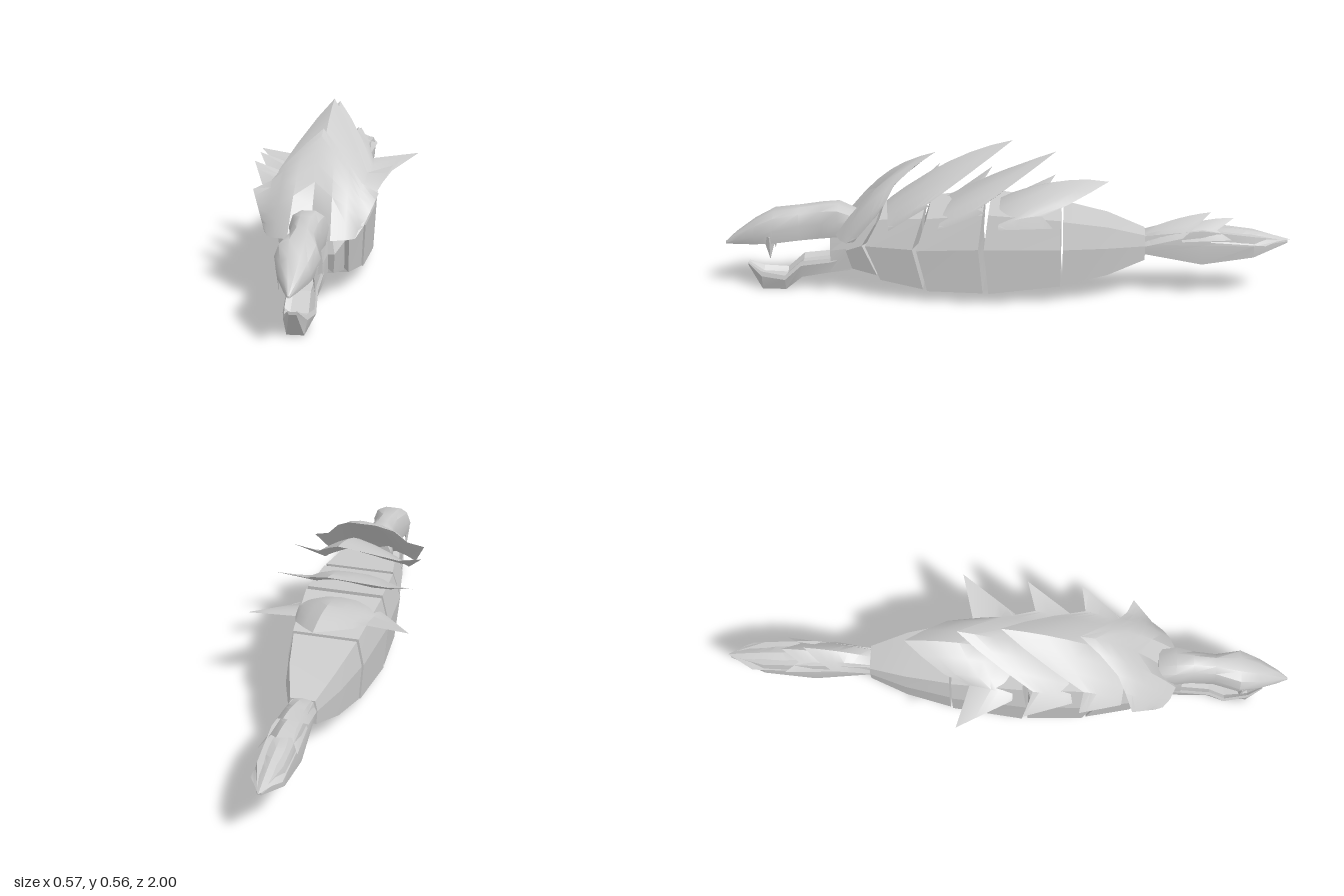
import * as THREE from 'three';
import { toCreasedNormals } from 'three/addons/utils/BufferGeometryUtils.js';

const material = new THREE.MeshStandardMaterial({ color: 0xcccccc, side: THREE.DoubleSide });
const V = (x, y, z) => new THREE.Vector3(x, y, z);
const flipX = (p) => V(-p.x, p.y, p.z);

// Skin between closed rings, ordered front to back, each counter-clockwise seen from +z.
function loft(name, rings, crease = 0.5, caps = true) {
  const pos = [];
  const tri = (...pts) => pts.forEach((p) => pos.push(p.x, p.y, p.z));
  const n = rings[0].length;
  for (let i = 0; i < rings.length - 1; i++) {
    for (let j = 0; j < n; j++) {
      const k = (j + 1) % n;
      const a = rings[i][j], b = rings[i][k], c = rings[i + 1][k], d = rings[i + 1][j];
      tri(a, d, c);
      tri(a, c, b);
    }
  }
  if (caps) {
    const cap = (ring, back) => {
      const mid = ring.reduce((s, p) => s.add(p), V(0, 0, 0)).divideScalar(n);
      ring.forEach((p, j) => {
        const q = ring[(j + 1) % n];
        if (back) tri(mid, q, p); else tri(mid, p, q);
      });
    };
    cap(rings[0], false);
    cap(rings[rings.length - 1], true);
  }
  const geo = new THREE.BufferGeometry();
  geo.setAttribute('position', new THREE.Float32BufferAttribute(pos, 3));
  const mesh = new THREE.Mesh(toCreasedNormals(geo, crease), material);
  mesh.name = name;
  return mesh;
}

// Full ring from its right half, listed bottom to top; centre points are kept single.
const mirrorRing = (half) => [...half, ...half.filter((p) => p.x > 0).reverse().map(flipX)];

// Six-sided body ring: flat belly and back, side ridge pushed forward by dz.
const bodyRing = ([z, yb, yt, w, dz = 0]) => mirrorRing([
  V(w * 0.92, yb, z), V(w, yb + (yt - yb) * 0.58, z + dz), V(w * 0.86, yt, z)]);

// Thin curved shell from half-outlines of its front and back edges (centre to side).
function plate(name, front, back, lift, thick) {
  const rings = [];
  const steps = 6, last = front.length - 1;
  for (let i = 0; i <= steps; i++) {
    const t = i / steps, bulge = 4 * t * (1 - t);
    const row = (drop) => {
      const half = front.map((f, j) => {
        const p = V(...f).lerp(V(...back[j]), t);
        const inner = 1 - j / last;
        p.y += bulge * (lift * inner - drop * Math.min(1, inner * 2));
        return p;
      });
      return [...half.slice(1).reverse().map(flipX), ...half];
    };
    rings.push([...row(thick), ...row(0).reverse()]);
  }
  return loft(name, rings, 0.55, false);
}

// Back plate: raised centre point, notch, then a swept side spike.
function backPlate(name, { front, tip, side, notch, spike, lift }) {
  const [yf, zf] = front, [yt, zt] = tip, [xs, ys, zs] = side;
  const across = (u) => [xs * u, yf + (ys - yf) * u * u, zf + (zs - zf) * u];
  const leaf = (u, x) => [x, yt + (notch[1] - yt) * u, zt + (notch[2] - zt) * u];
  return plate(name,
    [0, 0.33, 0.66, 0.9, 1].map(across),
    [[0, yt, zt], leaf(0.27, 0.048), leaf(0.62, 0.1), notch, spike], lift, 0.03);
}

export function createModel() {
  const model = new THREE.Group();
  model.name = 'armouredCreature';

  // Body segments: [z, bottom, top, half width, ridge shift]
  const segments = [
    [[0.62, 0.08, 0.212, 0.05], [0.53, 0.095, 0.23, 0.06]],
    [[0.54, 0.1, 0.22, 0.08, 0.02], [0.45, 0.085, 0.28, 0.105, 0.05]],
    [[0.437, 0.073, 0.295, 0.118, 0.05], [0.285, 0.05, 0.31, 0.145, 0.035]],
    [[0.27, 0.045, 0.31, 0.15, 0.035], [0.075, 0.043, 0.33, 0.158, 0.015]],
    [[0.055, 0.042, 0.33, 0.16, 0.015], [-0.195, 0.066, 0.305, 0.135]],
    [[-0.203, 0.068, 0.3, 0.13], [-0.36, 0.097, 0.272, 0.096], [-0.49, 0.14, 0.23, 0.05]],
  ];
  segments.forEach((rows, i) =>
    model.add(loft(i ? 'bodySegment' + i : 'neck', rows.map(bodyRing), 0.2)));

  // Tail
  const tail = [[-0.48, 0.16, 0.225, 0.042], [-0.69, 0.127, 0.25, 0.055],
    [-0.87, 0.155, 0.23, 0.05], [-0.99, 0.198, 0.207, 0.008]];
  model.add(loft('tail', tail.map(bodyRing), 0.3));

  // Tail scales
  model.add(plate('tailScale1',
    [[0, 0.235, -0.49], [0.03, 0.23, -0.49], [0.048, 0.19, -0.49]],
    [[0, 0.305, -0.72], [0.035, 0.265, -0.67], [0.056, 0.225, -0.62]], 0.01, 0.012));
  model.add(plate('tailScale2',
    [[0, 0.245, -0.6], [0.03, 0.24, -0.6], [0.052, 0.21, -0.62]],
    [[0, 0.285, -0.8], [0.035, 0.25, -0.74], [0.066, 0.225, -0.79]], 0.01, 0.012));
  model.add(plate('tailScale3',
    [[0, 0.25, -0.7], [0.03, 0.245, -0.7], [0.054, 0.21, -0.72]],
    [[0, 0.208, -1], [0.03, 0.21, -0.95], [0.052, 0.2, -0.91]], 0.012, 0.012));

  // Shield behind the head
  model.add(plate('shieldPlate',
    [[0, 0.24, 0.55], [0.07, 0.225, 0.595], [0.115, 0.222, 0.575], [0.145, 0.222, 0.55], [0.158, 0.232, 0.52]],
    [[0, 0.513, 0.245], [0.05, 0.475, 0.315], [0.105, 0.425, 0.38], [0.15, 0.37, 0.41], [0.208, 0.345, 0.435]],
    0.055, 0.04));

  // Overlapping back plates
  [
    { front: [0.33, 0.42], tip: [0.56, -0.025], side: [0.16, 0.275, 0.4],
      notch: [0.15, 0.37, 0.265], spike: [0.235, 0.395, 0.25], lift: 0.035 },
    { front: [0.34, 0.19], tip: [0.52, -0.175], side: [0.162, 0.28, 0.23],
      notch: [0.15, 0.355, 0.09], spike: [0.25, 0.38, 0.06], lift: 0.015 },
    { front: [0.335, 0.02], tip: [0.412, -0.36], side: [0.162, 0.285, 0.02],
      notch: [0.125, 0.325, -0.13], spike: [0.285, 0.34, -0.17], lift: 0.035 },
  ].forEach((p, i) => model.add(backPlate('backPlate' + (i + 1), p)));

  // Head with hooked beak: [z, half width, lower edge, roof, side, top]
  const head = [
    [1.0, 0.003, 0.16, 0.163, 0.163, 0.168],
    [0.96, 0.024, 0.166, 0.172, 0.182, 0.205],
    [0.89, 0.054, 0.175, 0.19, 0.205, 0.255],
    [0.82, 0.073, 0.185, 0.205, 0.235, 0.292],
    [0.73, 0.047, 0.19, 0.205, 0.245, 0.306],
    [0.65, 0.05, 0.2, 0.208, 0.255, 0.318],
    [0.59, 0.064, 0.21, 0.212, 0.265, 0.322],
    [0.53, 0.06, 0.215, 0.218, 0.255, 0.295],
  ].map(([z, w, yb, yr, ym, yt]) => mirrorRing([
    V(0, yr, z), V(w * 0.86, yb, z), V(w, ym, z),
    V(w * 0.8, ym + (yt - ym) * 0.7, z), V(w * 0.35, yt, z)]));
  model.add(loft('head', head, 0.7));

  // Fangs
  for (const s of [-1, 1]) {
    const fang = new THREE.Mesh(new THREE.ConeGeometry(0.024, 0.085, 4).toNonIndexed(), material);
    fang.geometry.computeVertexNormals();
    fang.name = s > 0 ? 'leftFang' : 'rightFang';
    fang.scale.x = 0.5;
    fang.rotation.x = Math.PI;
    fang.position.set(s * 0.056, 0.168, 0.832);
    model.add(fang);
  }

  // Lower jaw trough: [z, bottom half width, top half width, bottom, top]
  const jaw = [
    [0.92, 0.012, 0.016, 0.082, 0.094],
    [0.87, 0.028, 0.038, 0, 0.067],
    [0.785, 0.03, 0.053, 0, 0.058],
    [0.725, 0.035, 0.05, 0.05, 0.113],
    [0.62, 0.045, 0.05, 0.073, 0.125],
    [0.55, 0.05, 0.052, 0.085, 0.15],
  ].map(([z, wb, wt, yb, yt]) => mirrorRing([
    V(wb, yb, z), V(wt, yb + (yt - yb) * 0.75, z), V(wt * 0.9, yt, z),
    V(wt * 0.55, yt - (yt - yb) * 0.25, z)]));
  model.add(loft('lowerJaw', jaw, 0.35));

  return model;
}
